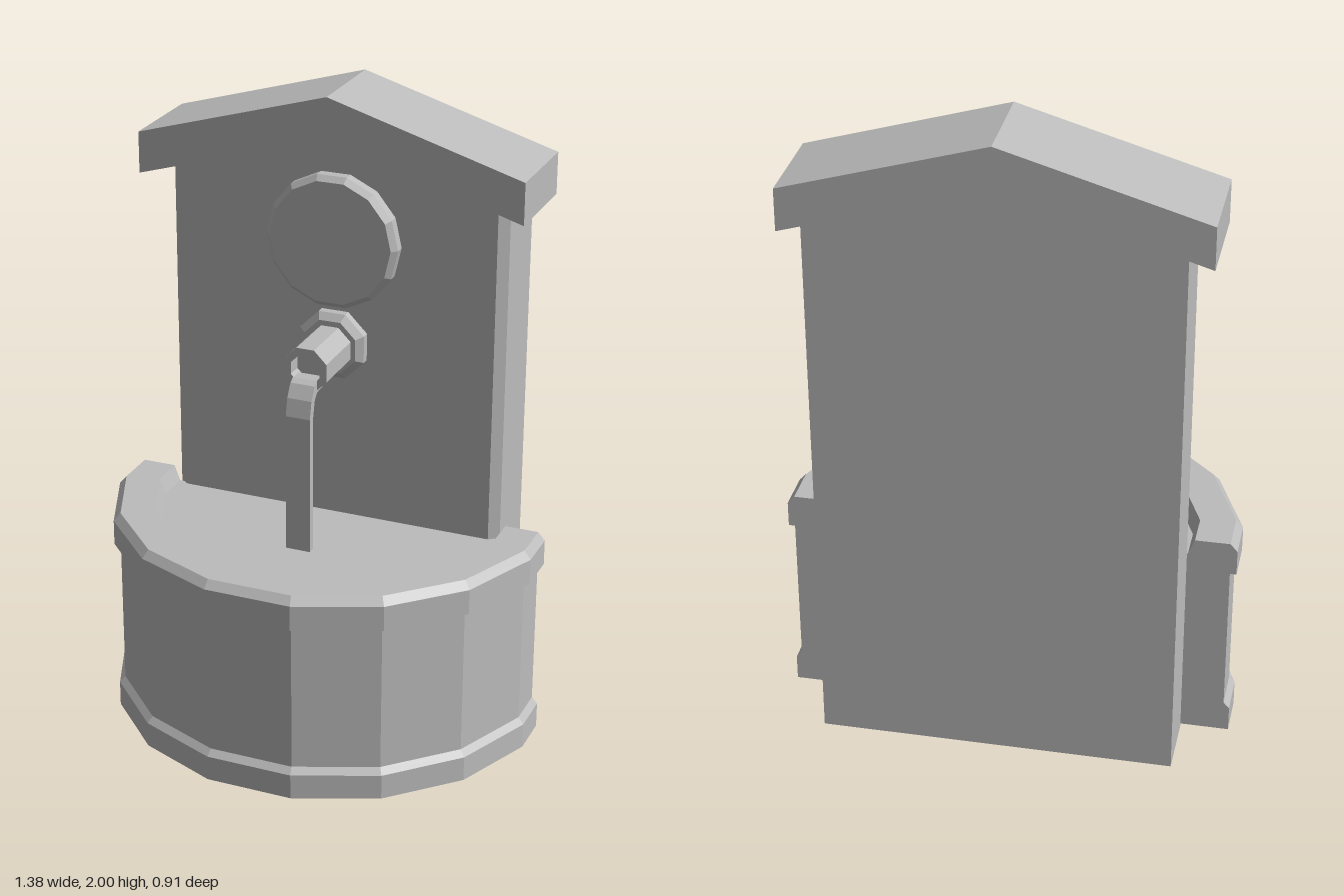
import * as THREE from 'three';

const stone = new THREE.MeshStandardMaterial({ color: 0xbcbcbc });
stone.name = 'stone grey';

const vecs = (pts) => pts.map(([x, y]) => new THREE.Vector2(x, y));

export function createModel() {
  const group = new THREE.Group();

  // Adds a faceted mesh with hard edges
  function add(name, geometry, x = 0, y = 0, z = 0) {
    const g = geometry.index ? geometry.toNonIndexed() : geometry;
    g.computeVertexNormals();
    const mesh = new THREE.Mesh(g, stone);
    mesh.name = name;
    mesh.position.set(x, y, z);
    group.add(mesh);
    return mesh;
  }
  const extrude = (pts, depth, steps = 1) =>
    new THREE.ExtrudeGeometry(new THREE.Shape(vecs(pts)), { depth, steps, bevelEnabled: false });

  // Polygonal turned part whose axis points forward, with a flat side on top
  const turned = (pts, sides) =>
    new THREE.LatheGeometry(vecs(pts), sides, Math.PI / sides).rotateX(Math.PI / 2);

  // Back wall: gabled slab with chamfered front corners
  const wall = extrude([[-0.54, 0], [0.54, 0], [0.54, 1.73], [0, 1.9], [-0.54, 1.73]], 0.228, 2);
  const p = wall.attributes.position;
  for (let i = 0; i < p.count; i++) {
    const z = p.getZ(i);
    if (z > 0.2) p.setX(i, p.getX(i) * 0.51 / 0.54);
    else if (z > 0.05) p.setZ(i, 0.203);
  }
  add('backWall', wall, 0, 0, -0.453);

  // Gabled roof
  add('roof', extrude([[-0.612, 1.69], [0, 1.873], [0.612, 1.69], [0.612, 1.82], [0, 2], [-0.612, 1.82]], 0.305),
    0, 0, -0.455);

  // Half-round basin: base moulding, body, rim and water surface in one profile
  const profile = [[0, 0], [0.7, 0], [0.7, 0.08], [0.682, 0.1], [0.682, 0.575], [0.702, 0.575],
    [0.702, 0.655], [0.68, 0.68], [0.572, 0.68], [0.552, 0.63], [0, 0.63]];
  const step = Math.PI / 8;
  const basin = new THREE.LatheGeometry(vecs(profile), 9, -4.5 * step, 9 * step);
  const b = basin.attributes.position;
  for (let i = 0; i < b.count; i++) b.setZ(i, Math.max(0, b.getZ(i)));
  add('basin', basin, 0, 0, -0.238);

  // Flat back of the basin
  const half = profile.slice(1, -1).map(([r, y]) => [r * Math.cos(step / 2), y]);
  const mirrored = half.map(([x, y]) => [-x, y]).reverse();
  add('basinBack', new THREE.ShapeGeometry(new THREE.Shape(vecs([...half, ...mirrored]))).rotateY(Math.PI),
    0, 0, -0.238);

  // Round medallion
  add('medallion', turned([[0, 0], [0.212, 0], [0.212, 0.035], [0.195, 0.052], [0, 0.052]], 14), 0, 1.54, -0.23);

  // Spout: wall collar and hollow pipe
  add('spoutCollar', turned([[0, 0], [0.113, 0], [0.113, 0.03], [0.09, 0.048], [0, 0.048]], 8), 0, 1.205, -0.23);
  add('spoutPipe', turned([[0, 0], [0.074, 0], [0.074, 0.2], [0.05, 0.2], [0.05, 0.15], [0, 0.15]], 8),
    0, 1.203, -0.19);

  // Water stream: side outline (forward, up) swept across its width
  const stream = extrude([[-0.03, 1.175], [-0.03, 1.14], [0.01, 1.138], [0.028, 1.12], [0.04, 1.07], [0.04, 0.62],
    [0.066, 0.62], [0.066, 1.07], [0.054, 1.125], [0.03, 1.165], [0.01, 1.175]], 0.078);
  add('waterStream', stream.rotateY(-Math.PI / 2), 0.039, 0, 0);

  return group;
}
